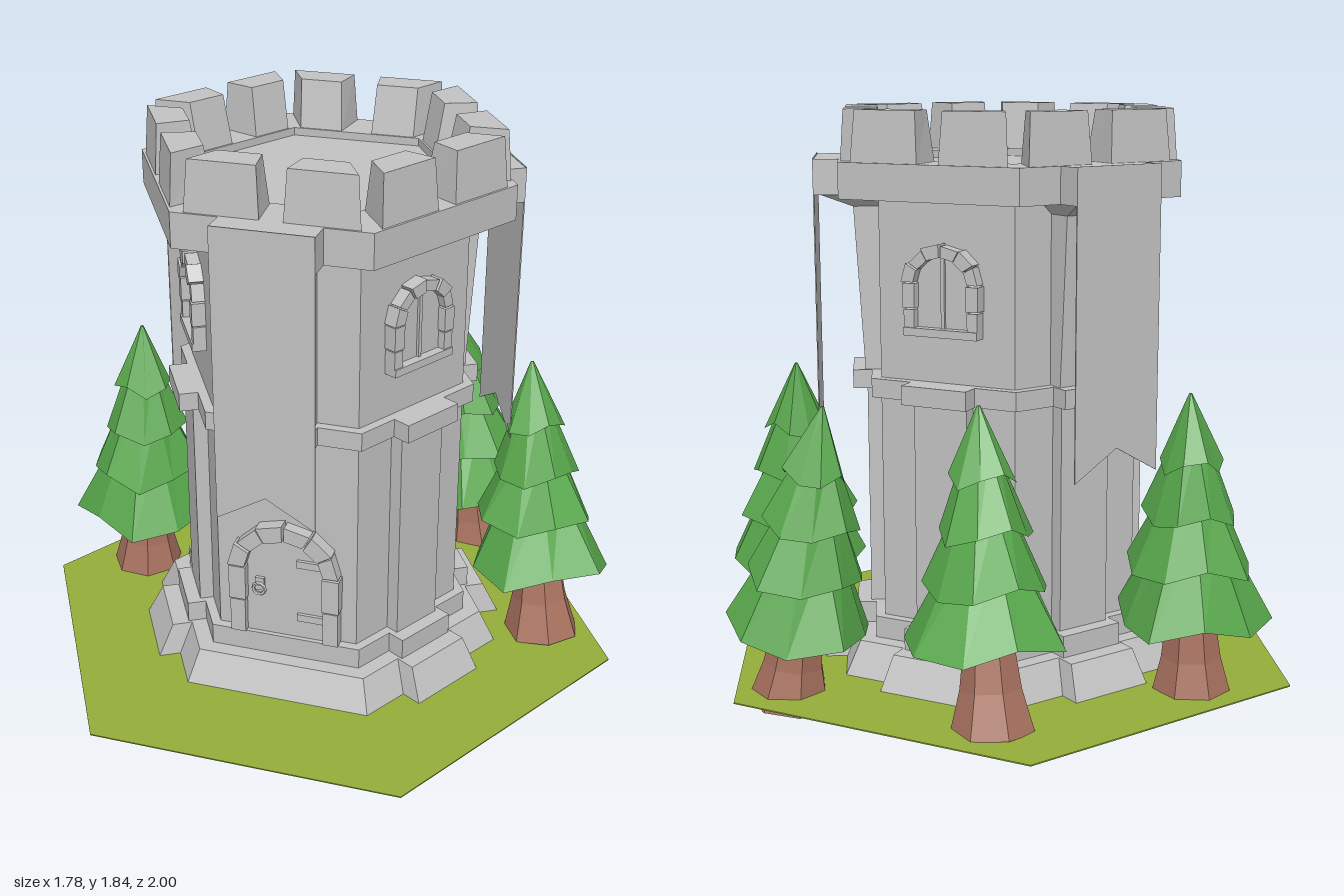
import * as THREE from 'three';

const flat = (name, color) => {
  const m = new THREE.MeshStandardMaterial({ color, flatShading: true });
  m.name = name;
  return m;
};

export function createModel() {
  const stone = flat('stone', 0xc2c2c2);
  const grass = flat('grass', 0x95ae3a);
  const leaf = flat('leaf', 0x57a64b);
  const bark = flat('bark', 0xa8715f);
  const model = new THREE.Group();
  model.name = 'hexTower';

  const add = (parent, name, geo, mat = stone, x = 0, y = 0, z = 0) => {
    const m = new THREE.Mesh(geo, mat);
    m.name = name;
    m.position.set(x, y, z);
    parent.add(m);
    return m;
  };

  // Solid between two outlines of [x, z] points, listed turning from +x to +z
  const prism = (low, high, y0, y1) => {
    const b = low.map(([x, z]) => [x, y0, z]);
    const t = high.map(([x, z]) => [x, y1, z]);
    const v = [], n = b.length;
    for (let i = 0; i < n; i++) {
      const j = (i + 1) % n;
      v.push(b[i], t[i], b[j], t[i], t[j], b[j]);
      if (i > 0 && i < n - 1) v.push(t[0], t[i + 1], t[i], b[0], b[i], b[i + 1]);
    }
    const g = new THREE.BufferGeometry();
    g.setAttribute('position', new THREE.Float32BufferAttribute(v.flat(), 3));
    g.computeVertexNormals();
    return g;
  };
  const hex = (apothem) => Array.from({ length: 6 }, (_, k) => {
    const a = (30 + 60 * k) * Math.PI / 180, r = apothem / Math.cos(Math.PI / 6);
    return [r * Math.cos(a), r * Math.sin(a)];
  });
  const rect = (w, z0, z1) => [[-w, z0], [w, z0], [w, z1], [-w, z1]];
  const extrude = (pts, depth, hole) => {
    const s = new THREE.Shape(pts.map(([x, y]) => new THREE.Vector2(x, y)));
    if (hole) s.holes.push(new THREE.Path(hole.map(([x, y]) => new THREE.Vector2(x, y))));
    return new THREE.ExtrudeGeometry(s, { depth, bevelEnabled: false });
  };

  // Grass tile: a flat hexagon seen from both sides
  add(model, 'grassTile', prism(hex(0.866), hex(0.866), 0.071, 0.075), grass);

  // Tower core
  const tower = new THREE.Group();
  tower.name = 'tower';
  model.add(tower);
  add(tower, 'plinth', prism(hex(0.53), hex(0.48), 0.068, 0.18));
  add(tower, 'plinthStep', prism(hex(0.43), hex(0.43), 0.18, 0.25));
  add(tower, 'walls', prism(hex(0.4), hex(0.4), 0.25, 1.6));
  add(tower, 'beltCourse', prism(hex(0.43), hex(0.43), 0.97, 1.03));
  const crown = add(tower, 'crown', extrude(hex(0.52), 0.11, hex(0.365)), stone, 0, 1.7, 0);
  crown.rotation.x = Math.PI / 2;
  add(tower, 'roofDeck', prism(hex(0.37), hex(0.37), 1.6, 1.675));

  // Arched opening with jamb stones, voussoirs and an inset panel
  const arched = (parent, name, y, z, hw, spring, rise, t) => {
    const g = new THREE.Group();
    g.name = name;
    g.position.set(0, y, z);
    parent.add(g);
    const arc = (a, w, r) => [w * Math.cos(a), spring + r * Math.sin(a)];
    const panel = [[-hw + t, 0], [hw - t, 0]];
    for (let i = 0; i <= 8; i++) panel.push(arc(Math.PI * i / 8, hw - t, rise - t));
    add(g, name + 'Panel', extrude(panel, 0.03), stone, 0, 0, -0.015);
    const n = 6;
    for (let i = 0; i < n; i++) {
      const a0 = Math.PI * i / n + 0.02, a1 = Math.PI * (i + 1) / n - 0.02;
      const o = (i % 2) * 0.006;
      add(g, name + 'ArchStone', extrude([
        arc(a0, hw + o, rise + o), arc(a1, hw + o, rise + o),
        arc(a1, hw - t, rise - t), arc(a0, hw - t, rise - t)], 0.055 + o), stone, 0, 0, -0.015);
    }
    for (const s of [-1, 1]) for (let i = 0; i < 2; i++) {
      add(g, name + 'JambStone', new THREE.BoxGeometry(t + 0.006 * i, spring / 2 - 0.005, 0.055 + 0.006 * i),
        stone, s * (hw - t / 2), spring * (0.25 + 0.5 * i), 0.0125);
    }
    return g;
  };

  // The six faces, each built with +z pointing out of the wall
  for (let k = 0; k < 6; k++) {
    const face = new THREE.Group();
    face.name = 'face' + (k + 1);
    face.rotation.y = Math.PI / 2 - k * Math.PI / 3;
    tower.add(face);
    const isDoor = k === 1, hasWindow = k % 2 === 0;

    // Pilaster with its footing and belt block
    if (!isDoor) {
      add(face, 'pilaster', prism(rect(0.09, 0.38, 0.445), rect(0.09, 0.38, 0.445), 0.25, 0.97));
      add(face, 'footing', prism(rect(0.14, 0.4, 0.6), rect(0.12, 0.4, 0.545), 0.068, 0.18));
      add(face, 'footingStep', prism(rect(0.11, 0.38, 0.49), rect(0.11, 0.38, 0.49), 0.18, 0.25));
    }
    add(face, 'beltBlock', prism(rect(0.11, 0.38, 0.49), rect(0.11, 0.38, 0.49), 0.97, 1.03));

    // Merlons, two per side
    const low = [[0.05, 0.37], [0.19, 0.37], [0.262, 0.513], [0.035, 0.513]];
    const high = [[0.06, 0.4], [0.195, 0.4], [0.25, 0.502], [0.045, 0.502]];
    const flip = (p) => p.map(([x, z]) => [-x, z]).reverse();
    add(face, 'merlon', prism(low, high, 1.69, 1.855));
    add(face, 'merlon', prism(flip(low), flip(high), 1.69, 1.855));

    if (hasWindow) {
      const w = arched(face, 'window', 1.18, 0.4, 0.125, 0.16, 0.115, 0.035);
      add(w, 'windowSill', new THREE.BoxGeometry(0.25, 0.025, 0.06), stone, 0, 0.01, 0.015);
      add(w, 'windowMullion', new THREE.BoxGeometry(0.012, 0.23, 0.012), stone, 0, 0.125, 0.018);
    } else {
      // Leaning buttress, corbel and the hanging banner
      add(face, 'buttress', prism(rect(0.1, 0.38, 0.45), rect(0.1, 0.38, 0.48), 1.03, 1.56));
      add(face, 'corbel', prism(rect(0.1, 0.38, 0.48), rect(0.14, 0.38, 0.58), 1.55, 1.59));
      add(face, 'bannerBlock', prism(rect(0.155, 0.48, 0.597), rect(0.155, 0.48, 0.597), 1.59, 1.7));
      add(face, 'banner', extrude([[-0.155, 0.77], [0, 0.86], [0.155, 0.77], [0.155, 1.702], [-0.155, 1.702]], 0.004),
        stone, 0, 0, 0.597);
    }

    if (isDoor) {
      const d = arched(face, 'door', 0.25, 0.4, 0.18, 0.25, 0.165, 0.05);
      for (const y of [0.08, 0.28]) {
        add(d, 'doorHinge', new THREE.BoxGeometry(0.09, 0.025, 0.012), stone, 0.085, y, 0.02);
      }
      add(d, 'doorPlate', new THREE.BoxGeometry(0.03, 0.045, 0.012), stone, -0.085, 0.185, 0.02);
      add(d, 'doorRing', new THREE.TorusGeometry(0.02, 0.006, 5, 10), stone, -0.085, 0.17, 0.03);
    }
  }

  // Skirt of needles with an uneven hem
  const skirt = (y0, y1, r0, r1, seed) => {
    const g = new THREE.CylinderGeometry(r1, r0, y1 - y0, 9, 1);
    g.translate(0, (y0 + y1) / 2, 0);
    const p = g.attributes.position;
    for (let i = 0; i < p.count; i++) {
      if (p.getY(i) > y0 + 0.01) continue;
      const step = Math.round(Math.atan2(p.getZ(i), p.getX(i)) * 9 / (2 * Math.PI) + 9) % 9;
      const centre = Math.hypot(p.getX(i), p.getZ(i)) < 0.01;
      const s = 1 + 0.09 * Math.sin(step * 2.4 + seed);
      p.setXYZ(i, p.getX(i) * s, y0 + (centre ? 0.05 : 0.025 * Math.sin(step * 4.1 + seed)), p.getZ(i) * s);
    }
    g.computeVertexNormals();
    return g;
  };

  // Trees, each given by its foot and its tip
  const trees = [
    [[-0.69, 0.05, 0.24], [-0.68, 1.0, 0.22]],
    [[-0.59, 0.06, -0.44], [-0.46, 0.98, -0.4]],
    [[0.02, 0.03, -0.8], [-0.09, 0.965, -0.72]],
    [[0.59, 0.065, -0.48], [0.43, 1.0, -0.54]],
  ];
  const tiers = [[0.26, 0.54, 0.235, 0.1], [0.43, 0.67, 0.19, 0.08], [0.59, 0.83, 0.145, 0.05], [0.75, 0.965, 0.1, 0.005]];
  trees.forEach(([foot, tip], i) => {
    const tree = new THREE.Group();
    tree.name = 'pineTree';
    const axis = new THREE.Vector3(...tip).sub(new THREE.Vector3(...foot)).normalize();
    tree.position.set(...foot);
    tree.quaternion.setFromUnitVectors(new THREE.Vector3(0, 1, 0), axis);
    model.add(tree);
    add(tree, 'trunkFoot', new THREE.CylinderGeometry(0.095, 0.13, 0.13, 7), bark, 0, 0.065, 0);
    add(tree, 'trunk', new THREE.CylinderGeometry(0.065, 0.095, 0.22, 7), bark, 0, 0.24, 0);
    tiers.forEach(([y0, y1, r0, r1], j) => {
      add(tree, 'needles', skirt(y0, y1, r0, r1, i * 1.7 + j * 2.3), leaf).rotation.y = i + j * 0.8;
    });
  });

  return model;
}
